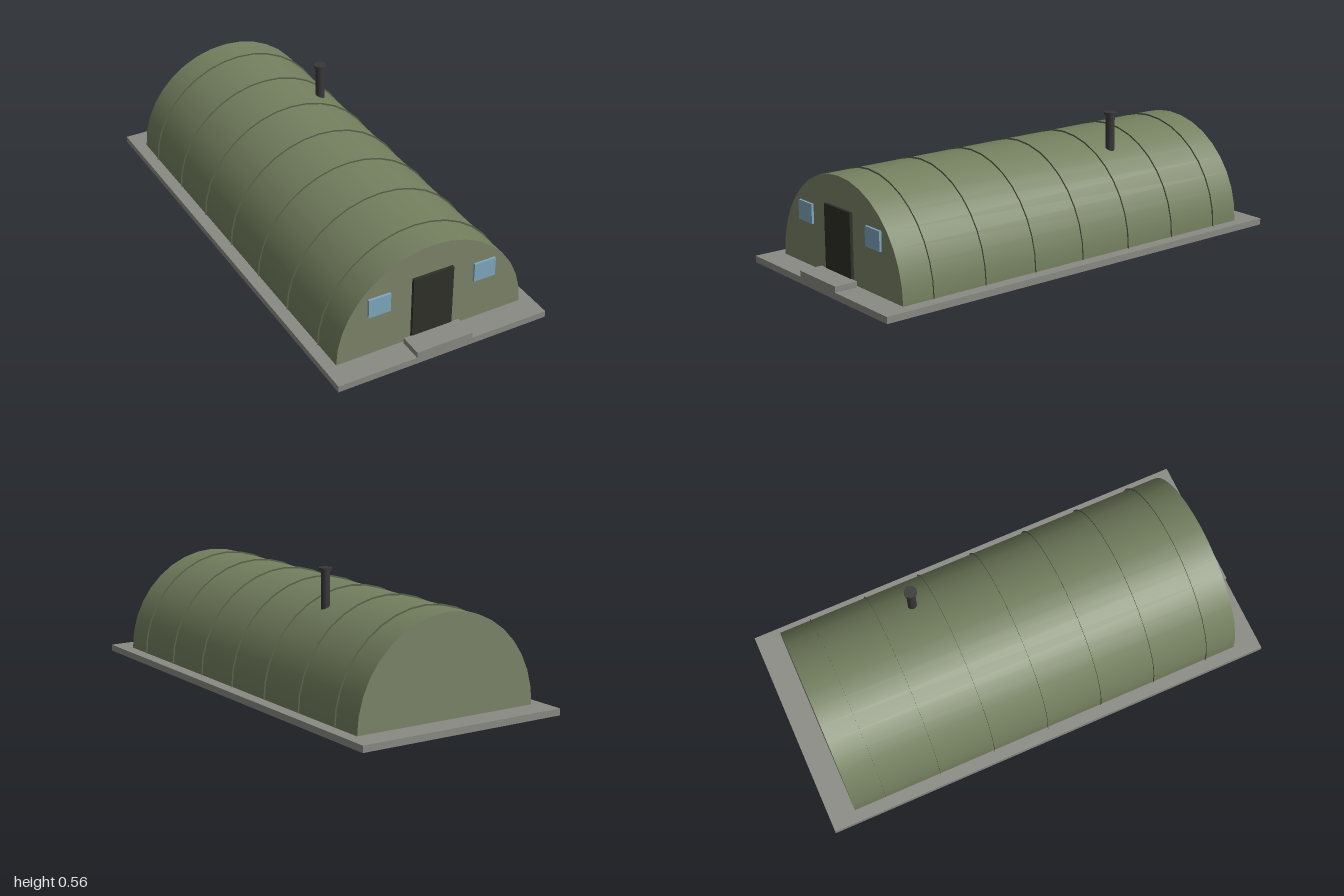
import * as THREE from 'three';

export function createModel() {
  const hut = new THREE.Group();
  hut.name = 'archedHut';

  const mat = (color, side = THREE.FrontSide) => new THREE.MeshStandardMaterial({ color, side });
  const concrete = mat(0x8a8a84);
  const olive = mat(0x74805f);
  const wallPaint = mat(0x7c8468);
  const ribPaint = mat(0x5a644a, THREE.DoubleSide);
  const doorPaint = mat(0x2e3028);
  const glass = mat(0x7fa8bf);
  const iron = mat(0x383838);

  const add = (name, geometry, material, x = 0, y = 0, z = 0) => {
    const mesh = new THREE.Mesh(geometry, material);
    mesh.name = name;
    mesh.position.set(x, y, z);
    hut.add(mesh);
    return mesh;
  };
  // Box given by its minimum and maximum corners
  const box = (name, material, [x0, y0, z0], [x1, y1, z1]) =>
    add(name, new THREE.BoxGeometry(x1 - x0, y1 - y0, z1 - z0), material,
      (x0 + x1) / 2, (y0 + y1) / 2, (z0 + z1) / 2);

  const R = 0.418, BASE = 0.028, HALF = 0.89, SEGMENTS = 18;

  // Ground slab and door step
  box('foundationSlab', concrete, [-0.47, 0, -1], [0.47, BASE, 1]);
  box('doorStep', concrete, [-0.125, BASE, 0.9], [0.125, 0.053, 1]);

  // Half-round roof shell
  const shell = new THREE.CylinderGeometry(R, R, HALF * 2, SEGMENTS, 1, true, -Math.PI / 2, Math.PI);
  shell.rotateX(-Math.PI / 2);
  add('roofShell', shell, olive, 0, BASE, 0);

  // Half-disc end walls
  const endWall = new THREE.CircleGeometry(R, SEGMENTS, 0, Math.PI);
  add('frontWall', endWall, wallPaint, 0, BASE, HALF);
  add('backWall', endWall, wallPaint, 0, BASE, -HALF).rotation.y = Math.PI;

  // Thin standing ribs over the shell
  const rib = new THREE.RingGeometry(R - 0.004, 0.425, SEGMENTS, 1, 0, Math.PI);
  for (let i = -3; i <= 3; i++) add('roofRib', rib, ribPaint, 0, BASE, i * 0.25);

  // Door and windows on the front wall
  box('door', doorPaint, [-0.09, BASE, 0.88], [0.09, 0.32, 0.903]);
  for (const side of [-1, 1]) {
    add(side > 0 ? 'leftWindow' : 'rightWindow', new THREE.BoxGeometry(0.097, 0.082, 0.02),
      glass, side * 0.236, 0.251, 0.89);
  }

  // Stove pipe with cap
  add('stovePipe', new THREE.CylinderGeometry(0.019, 0.019, 0.19, 16), iron, 0.193, 0.455, -0.347);
  add('stovePipeCap', new THREE.CylinderGeometry(0.027, 0.027, 0.01, 16), iron, 0.193, 0.55, -0.347);

  return hut;
}
